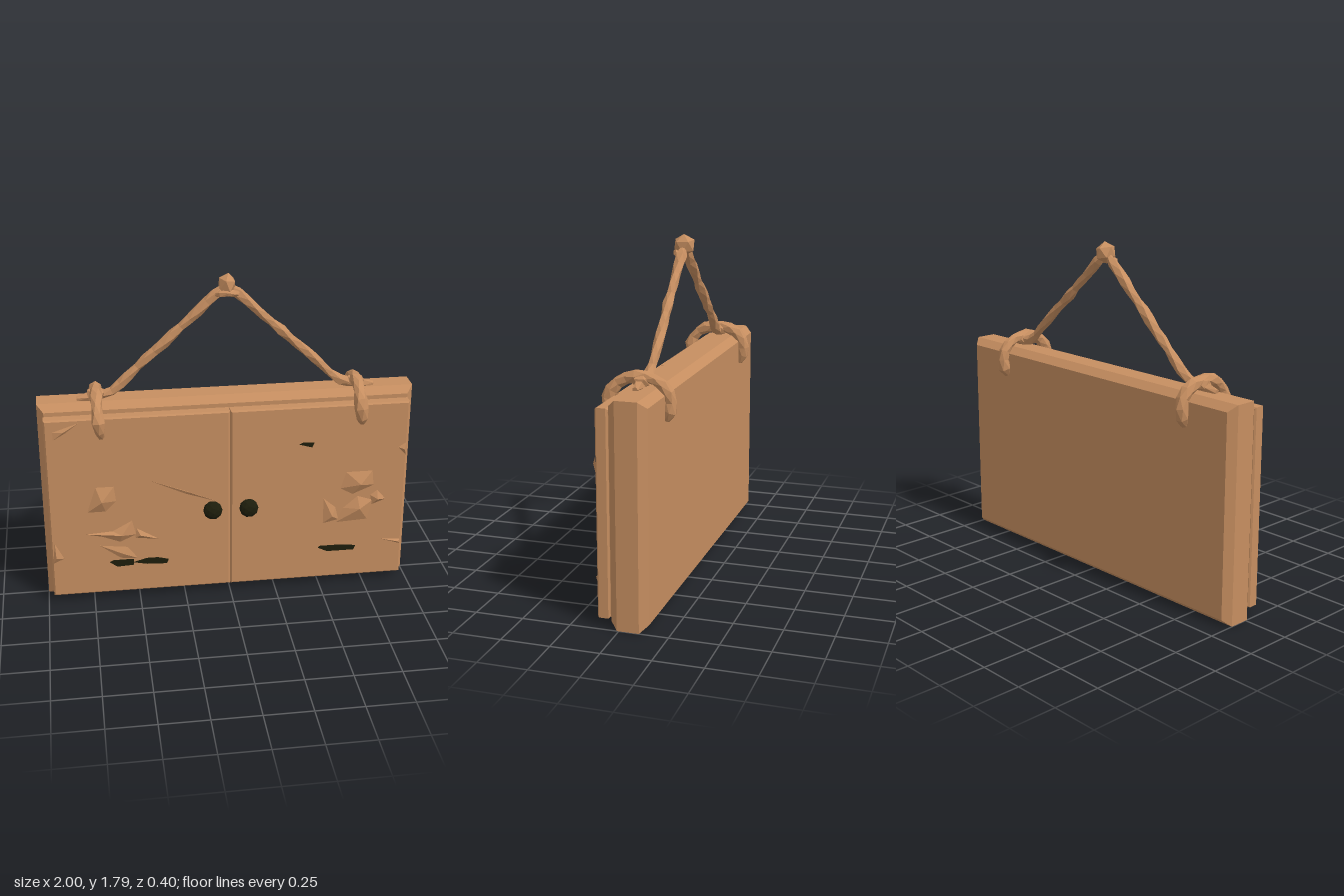
import * as THREE from 'three';

const wood = new THREE.MeshStandardMaterial({ color: 0xc68e60, flatShading: true });
wood.name = 'warm wood';
const dark = new THREE.MeshStandardMaterial({ color: 0x1d1d0c, flatShading: true });
dark.name = 'dark iron';

const FACE = 0.122; // z of the door fronts

let seed = 7;
const rnd = () => (seed = (seed * 16807) % 2147483647) / 2147483647 - 0.5;

function add(parent, name, geometry, material = wood) {
  const mesh = new THREE.Mesh(geometry, material);
  mesh.name = name;
  parent.add(mesh);
  return mesh;
}

function polygon(points) {
  return new THREE.Shape(points.map(([x, y]) => new THREE.Vector2(x, y)));
}

// Chamfered slab filling the given bounds
function slab(x0, x1, y0, y1, z0, z1, b, bz = b) {
  const s = polygon([[x0 + b, y0 + b], [x1 - b, y0 + b], [x1 - b, y1 - b], [x0 + b, y1 - b]]);
  const g = new THREE.ExtrudeGeometry(s, {
    depth: z1 - z0 - 2 * bz, bevelEnabled: true, bevelSegments: 1, bevelSize: b, bevelThickness: bz,
  });
  return g.translate(0, 0, z0 + bz);
}

// Uneven, twisted low-poly cord with closed, tapering ends
function cord(points, radius, steps, sides = 5, twist = 0.35) {
  const curve = new THREE.CatmullRomCurve3(points.map((p) => new THREE.Vector3(...p)));
  const frames = curve.computeFrenetFrames(steps, false);
  const pos = [], index = [];
  for (let i = 0; i <= steps; i++) {
    const c = curve.getPointAt(i / steps);
    const r = radius * (i === 0 || i === steps ? 0.55 : 1 + rnd() * 0.4);
    for (let j = 0; j < sides; j++) {
      const a = (j / sides) * Math.PI * 2 + i * twist;
      const p = c.clone()
        .addScaledVector(frames.normals[i], Math.cos(a) * r)
        .addScaledVector(frames.binormals[i], Math.sin(a) * r);
      pos.push(p.x, p.y, p.z);
      if (i < steps) {
        const k = i * sides + j, m = i * sides + ((j + 1) % sides);
        index.push(k, m, k + sides, m, m + sides, k + sides);
      }
    }
  }
  const last = steps * sides;
  for (let j = 1; j < sides - 1; j++) {
    index.push(0, j + 1, j, last, last + j, last + j + 1);
  }
  const g = new THREE.BufferGeometry();
  g.setAttribute('position', new THREE.Float32BufferAttribute(pos, 3));
  g.setIndex(index);
  g.computeVertexNormals();
  return g;
}

// Shallow faceted chip: outline on the door rising to one peak
function chip(outline, px, py, height) {
  const pos = [];
  outline.forEach(([x, y], i) => {
    const [u, v] = outline[(i + 1) % outline.length];
    pos.push(x, y, FACE - 0.001, u, v, FACE - 0.001, px, py, FACE + height);
  });
  const g = new THREE.BufferGeometry();
  g.setAttribute('position', new THREE.Float32BufferAttribute(pos, 3));
  g.computeVertexNormals();
  return g;
}

function lump(radius, sx, sy, sz) {
  return new THREE.IcosahedronGeometry(radius, 0).rotateZ(0.4).scale(sx, sy, sz);
}

export function createModel() {
  const model = new THREE.Group();
  model.name = 'hangingCabinet';

  // Backing board and the two doors
  add(model, 'backBoard', slab(-1, 1, 0.01, 1.145, -0.142, 0.05, 0.035, 0.04));
  add(model, 'doorCore', new THREE.BoxGeometry(1.9, 1.02, 0.05).translate(0, 0.57, 0.06));
  add(model, 'rightDoor', slab(-0.97, -0.002, 0.05, 1.095, 0.058, FACE, 0.008));
  add(model, 'leftDoor', slab(0.002, 0.962, 0.05, 1.095, 0.058, FACE, 0.008));

  // Knobs
  for (const x of [-0.1, 0.095]) {
    const knob = add(model, 'knob', new THREE.IcosahedronGeometry(0.052, 1).scale(1, 1, 0.8), dark);
    knob.position.set(x, 0.537, 0.158);
    const stem = add(model, 'knobStem', new THREE.CylinderGeometry(0.025, 0.03, 0.04, 6).rotateX(Math.PI / 2), dark);
    stem.position.set(x, 0.537, 0.13);
  }

  // Carved chips, counterclockwise: outline, peak x, peak y, height
  const chips = [
    [[[0.60, 0.60], [0.67, 0.56], [0.79, 0.61], [0.78, 0.70], [0.63, 0.70]], 0.71, 0.63, 0.03],
    [[[0.51, 0.39], [0.60, 0.41], [0.58, 0.49], [0.51, 0.55]], 0.56, 0.44, 0.02],
    [[[0.58, 0.39], [0.76, 0.40], [0.79, 0.52], [0.70, 0.55], [0.62, 0.48]], 0.71, 0.48, 0.028],
    [[[0.78, 0.49], [0.86, 0.52], [0.81, 0.58], [0.77, 0.55]], 0.81, 0.53, 0.022],
    [[[0.91, 0.83], [0.958, 0.78], [0.958, 0.86]], 0.945, 0.82, 0.015],
    [[[0.84, 0.27], [0.955, 0.23], [0.955, 0.26]], 0.94, 0.25, 0.012],
    [[[-0.77, 0.55], [-0.67, 0.55], [-0.61, 0.61], [-0.62, 0.70], [-0.72, 0.70]], -0.69, 0.62, 0.03],
    [[[-0.79, 0.42], [-0.70, 0.40], [-0.60, 0.36], [-0.51, 0.40], [-0.53, 0.49], [-0.64, 0.43]], -0.59, 0.41, 0.024],
    [[[-0.52, 0.38], [-0.38, 0.36], [-0.51, 0.44]], -0.49, 0.40, 0.016],
    [[[-0.72, 0.35], [-0.60, 0.26], [-0.50, 0.25], [-0.56, 0.33]], -0.58, 0.29, 0.014],
    [[[-0.965, 0.25], [-0.90, 0.28], [-0.95, 0.38]], -0.945, 0.29, 0.016],
    [[[-0.93, 0.98], [-0.86, 1.02], [-0.78, 1.08], [-0.93, 1.03]], -0.87, 1.03, 0.01],
    [[[-0.46, 0.73], [-0.25, 0.63], [-0.05, 0.56], [-0.24, 0.645]], -0.22, 0.638, 0.008],
  ];
  const carving = new THREE.Group();
  carving.name = 'carvedChips';
  model.add(carving);
  chips.forEach((c) => add(carving, 'chip', chip(...c)));

  // Dark worn slots, as thin plates
  const slots = [
    [[-0.66, 0.24], [-0.62, 0.21], [-0.53, 0.215], [-0.53, 0.25], [-0.64, 0.25]],
    [[-0.53, 0.23], [-0.46, 0.215], [-0.35, 0.21], [-0.34, 0.235], [-0.40, 0.25], [-0.46, 0.25]],
    [[0.49, 0.24], [0.54, 0.215], [0.69, 0.215], [0.70, 0.24], [0.62, 0.25], [0.50, 0.25]],
    [[0.37, 0.88], [0.44, 0.86], [0.45, 0.885], [0.39, 0.89]],
  ];
  slots.forEach((s) => {
    const g = new THREE.ExtrudeGeometry(polygon(s), { depth: 0.004, bevelEnabled: false });
    add(model, 'wornSlot', g.translate(0, 0, FACE), dark);
  });

  // Rope: a loop over the board and a slanted cord on each side
  for (const s of [-1, 1]) {
    const x = 0.69 * s;
    add(model, 'ropeLoop', cord([
      [x + 0.015, 0.99, 0.125], [x + 0.005, 1.05, 0.152], [x, 1.13, 0.125], [x, 1.18, 0.06],
      [x, 1.193, -0.02], [x, 1.175, -0.10], [x, 1.12, -0.155], [x - 0.005, 1.05, -0.165], [x, 0.985, -0.14],
    ], 0.032, 13, 6));
    add(model, 'ropeCord', cord([
      [0.79 * s, 1.15, -0.02], [0.68 * s, 1.165, -0.02], [0.60 * s, 1.185, -0.025],
      [0.50 * s, 1.28, -0.03], [0.25 * s, 1.51, -0.022], [0.01 * s, 1.735, -0.02],
    ], 0.026, 16));
    const knot = add(model, 'loopKnot', lump(0.055, 1.0, 0.75, 0.9));
    knot.position.set(x, 1.175, -0.02);
  }

  // Knot at the peak
  const top = add(model, 'topKnot', lump(0.058, 0.85, 1.0, 1.05));
  top.position.set(0, 1.742, -0.02);
  add(model, 'topKnotWrap', cord([[-0.065, 1.69, -0.01], [0, 1.705, 0.022], [0.065, 1.69, -0.01]], 0.02, 4));
  return model;
}
